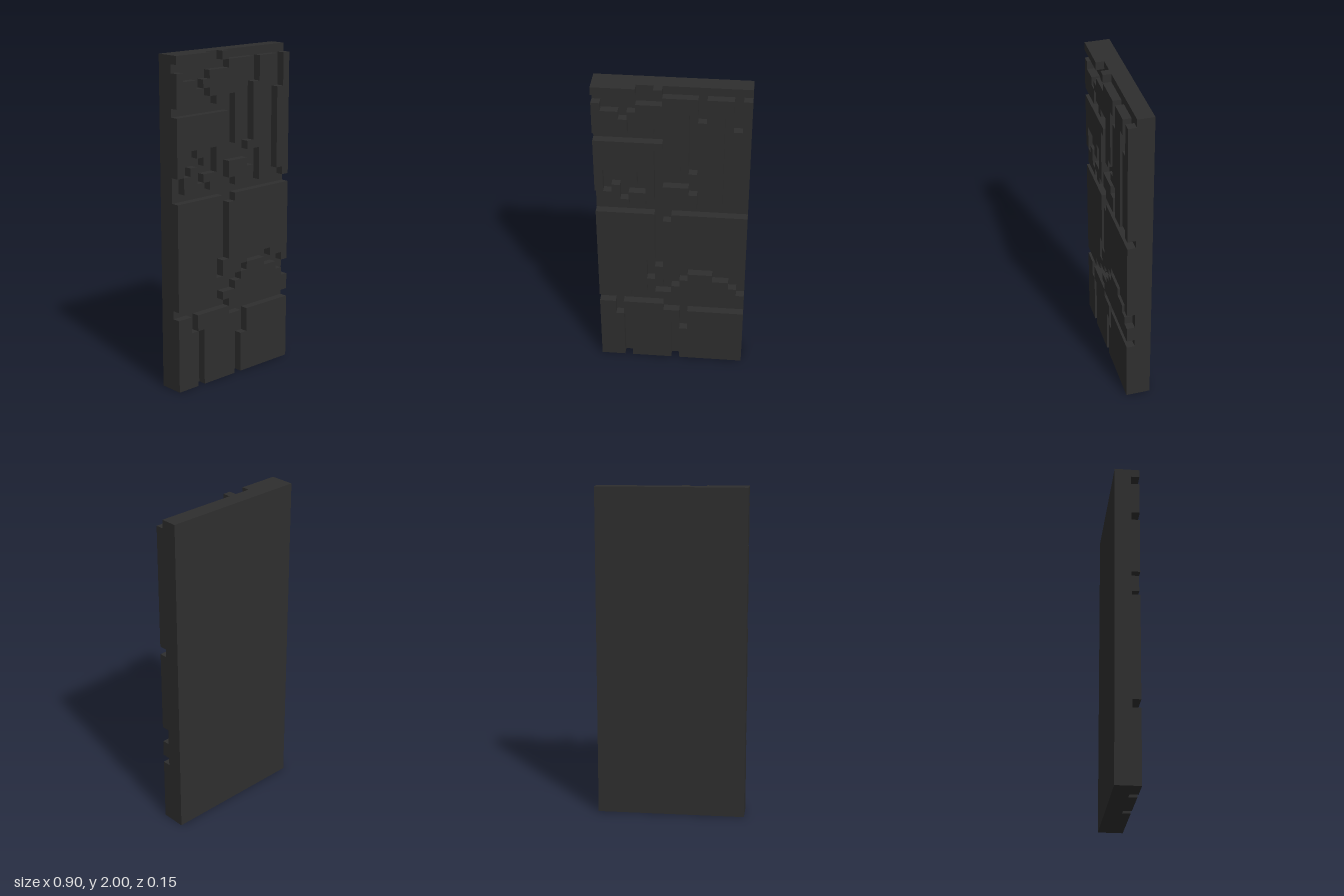
import * as THREE from 'three';

const CELL = 0.05; // every outline lies on a square grid, 18 cells wide and 40 tall

// Rectilinear outline: x and y alternate, each entry moves along one axis only
function stoneGeometry(path) {
  const n = path.length / 2;
  const points = [];
  for (let i = 0; i < n; i++) {
    const x = path[2 * i], y = path[2 * i + 1], nextX = path[(2 * i + 2) % path.length];
    points.push(new THREE.Vector2((x - 9) * CELL, y * CELL));
    points.push(new THREE.Vector2((nextX - 9) * CELL, y * CELL));
  }
  return new THREE.ExtrudeGeometry(new THREE.Shape(points), { depth: CELL, bevelEnabled: false });
}

const STONES = {
  // top row
  topStrip: [0, 39, 5, 40],
  topChip: [7, 39, 8, 40],
  upperLeftStone: [0, 34, 4, 36, 3, 37, 1, 38],
  upperMiddleStone: [5, 38, 8, 39, 12, 37, 11, 30, 10, 29, 9, 35, 7, 34, 6, 35, 5, 36, 4, 37],
  tallStone: [13, 39, 16, 37, 15, 24, 13, 28, 11, 29, 12, 36],
  rightEdgeStone: [17, 39, 18, 24, 17, 25, 16, 35],
  // broken stones above the middle joint
  leftStone: [0, 33, 8, 32, 7, 25, 6, 29, 5, 27, 4, 28, 3, 29, 1, 26],
  leftFragment: [1, 24, 4, 25, 3, 27, 2, 26],
  smallFragment: [4, 25, 5, 24, 6, 26],
  middleFragment: [9, 24, 12, 26, 11, 27, 8, 25],
  // large cracked stone below the middle joint
  largeStone: [0, 23, 7, 16, 6, 13, 7, 15, 8, 22, 9, 23, 18, 13, 17, 14, 15, 15,
    11, 14, 10, 13, 8, 12, 6, 11, 4, 10],
  archedStone: [8, 9, 18, 11, 17, 12, 16, 13, 14, 14, 11, 13, 10, 12, 9, 11, 7, 10],
  // bottom row
  bottomLeftStone: [0, 0, 3, 7, 2, 9],
  bottomMiddleStone: [4, 0, 9, 6, 10, 8, 8, 9, 3, 7],
  bottomRightStone: [10, 0, 18, 8, 11, 5],
};

export function createModel() {
  const model = new THREE.Group();
  model.name = 'stoneSlab';
  const stone = new THREE.MeshStandardMaterial({ color: 0x2e2e2e });
  stone.name = 'dark stone';

  // Backing slab, two cells thick
  const backing = new THREE.Mesh(new THREE.BoxGeometry(18 * CELL, 40 * CELL, 2 * CELL), stone);
  backing.name = 'backingSlab';
  backing.position.set(0, 1, -CELL / 2);
  model.add(backing);

  // Raised stones, one cell thick, with the joints left open between them
  for (const [name, path] of Object.entries(STONES)) {
    const mesh = new THREE.Mesh(stoneGeometry(path), stone);
    mesh.name = name;
    mesh.position.z = CELL / 2;
    model.add(mesh);
  }
  return model;
}
